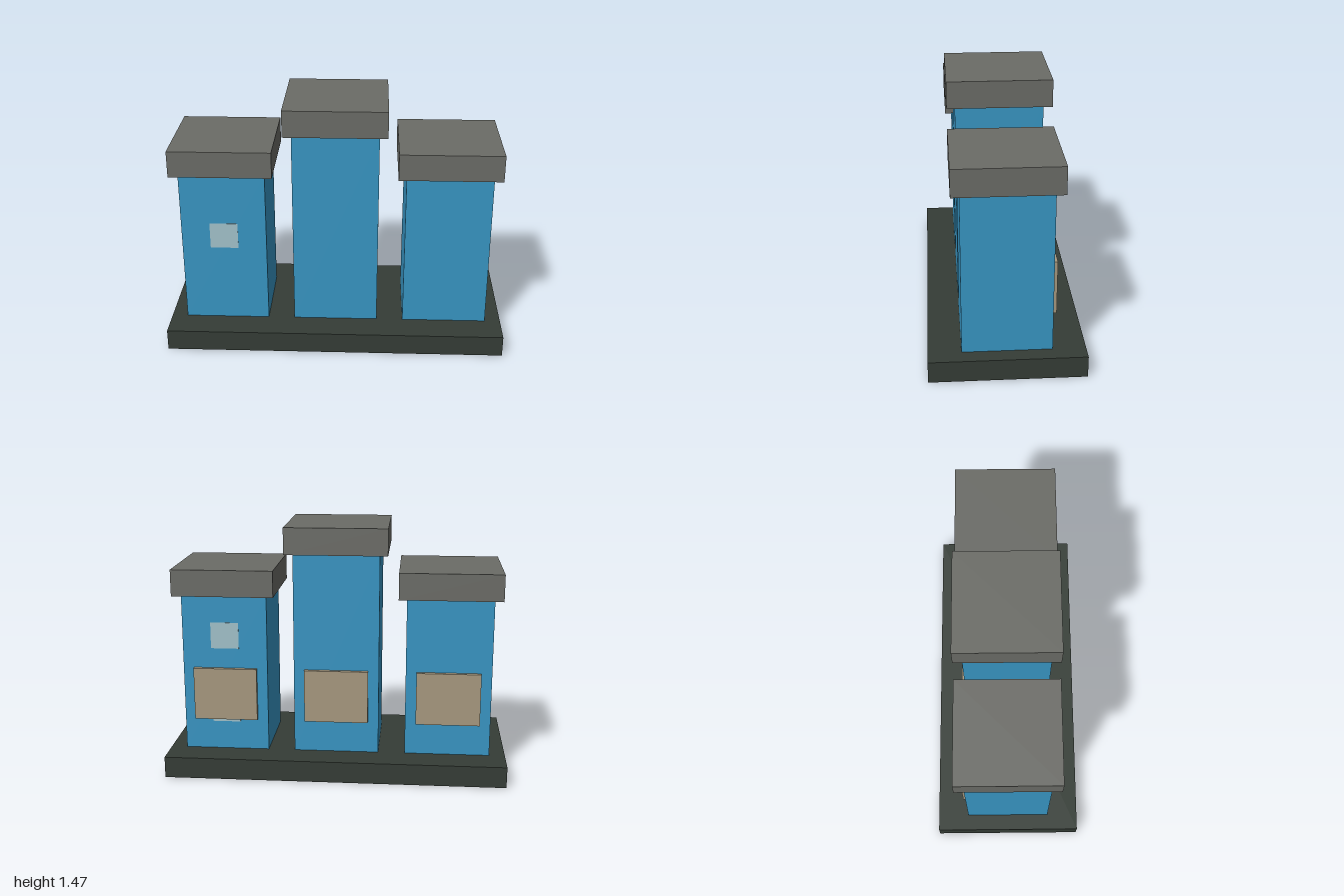
import * as THREE from 'three';

const mat = (name, color) => {
  const m = new THREE.MeshStandardMaterial({ color });
  m.name = name;
  return m;
};

export function createModel() {
  const model = new THREE.Group();
  model.name = 'threeTowers';
  const wall = mat('blue wall', 0x3896c4);
  const roof = mat('grey roof', 0x6b6c67);
  const stone = mat('dark base', 0x353d36);
  const panel = mat('tan panel', 0xa89a80);
  const glass = mat('pale window', 0xa3c3cc);

  // Box spanning y0..y1, centred on x and z
  const box = (name, parent, material, w, d, y0, y1, x = 0, z = 0) => {
    const mesh = new THREE.Mesh(new THREE.BoxGeometry(w, y1 - y0, d), material);
    mesh.name = name;
    mesh.position.set(x, (y0 + y1) / 2, z);
    parent.add(mesh);
  };

  box('base', model, stone, 2, 0.87, 0, 0.125);

  // Towers, each with an overhanging cap and a panel on the back
  const towers = [[-0.657, 1.065], [0, 1.315], [0.657, 1.065]].map(([x, top]) => {
    const tower = new THREE.Group();
    tower.name = 'tower';
    tower.position.x = x;
    model.add(tower);
    box('towerWall', tower, wall, 0.5, 0.5, 0.125, top);
    box('towerCap', tower, roof, 0.594, 0.594, top, top + 0.156);
    box('backPanel', tower, panel, 0.375, 0.025, 0.315, 0.628, 0, -0.2625);
    return tower;
  });

  // Windows as thin plates on the walls
  const w = 0.165, t = 0.004, out = 0.25;
  box('frontWindow', towers[0], glass, w, t, 0.597, 0.755, 0, out);
  box('sideWindow', towers[1], glass, t, w, 0.58, 0.735, out, 0);
  box('backUpperWindow', towers[2], glass, w, t, 0.747, 0.903, 0, -out);
  box('backLowerWindow', towers[2], glass, w, t, 0.295, 0.452, 0, -out);

  return model;
}
